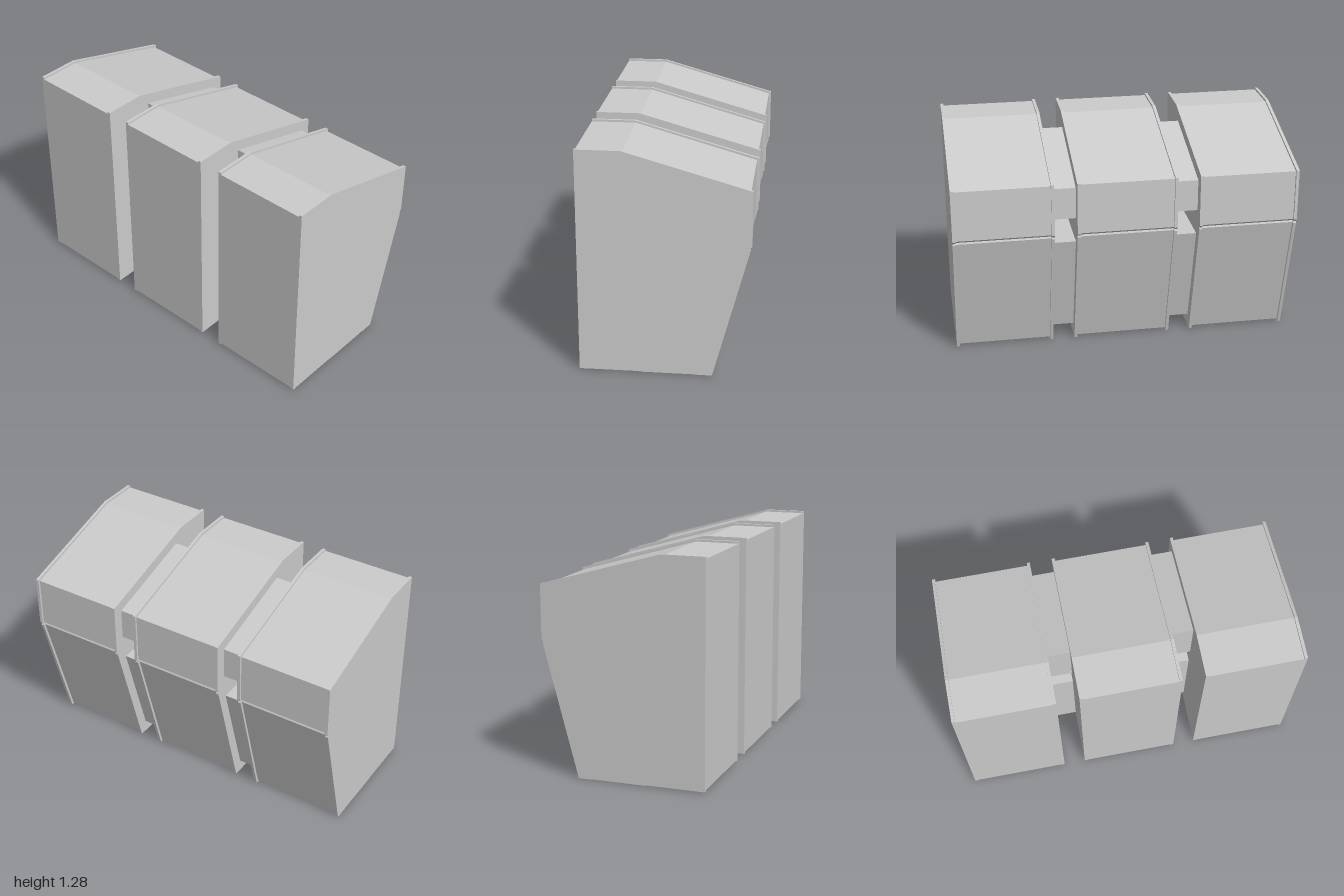
import * as THREE from 'three';

const material = new THREE.MeshStandardMaterial({ color: 0xcccccc, flatShading: true });

// Side profiles as [z, y] points, running from front bottom, round the back, to front top
const PLATE = [
  [0.475, 0.005], [0.14, 0.005], [0.139, 0.002], [-0.18, 0.002], [-0.181, 0], [-0.265, 0],
  [-0.466, 0.752], [-0.461, 0.762], [-0.474, 0.776], [-0.475, 1.085],
  [0.225, 1.284], [0.475, 1.284],
];
const BODY = [
  [0.475, 0.012], [-0.252, 0.012], [-0.451, 0.752], [-0.446, 0.762], [-0.462, 0.776],
  [-0.462, 1.075], [0.223, 1.272], [0.475, 1.272],
];
const UPPER_LINK = [[0.165, 0.85], [-0.41, 0.85], [-0.41, 1.036], [0.165, 1.2]];
const LOWER_LINK = [[0.165, 0.075], [-0.22, 0.075], [-0.39, 0.695], [0.165, 0.695]];

// Sweeps a side profile along x from x0 to x1
function slab(name, profile, x0, x1) {
  const shape = new THREE.Shape(profile.map(([z, y]) => new THREE.Vector2(-z, y)));
  const geometry = new THREE.ExtrudeGeometry(shape, { depth: x1 - x0, bevelEnabled: false });
  geometry.rotateY(Math.PI / 2);
  geometry.translate(x0, 0, 0);
  const mesh = new THREE.Mesh(geometry, material);
  mesh.name = name;
  return mesh;
}

// Cabinet: slightly recessed body held between two side plates
function cabinet(name, center) {
  const half = 0.29, thick = 0.018;
  const group = new THREE.Group();
  group.name = name;
  group.add(
    slab('body', BODY, center - half + thick, center + half - thick),
    slab('rightSidePlate', PLATE, center - half, center - half + thick),
    slab('leftSidePlate', PLATE, center + half - thick, center + half),
  );
  return group;
}

export function createModel() {
  const model = new THREE.Group();
  model.name = 'cabinetRow';
  model.add(cabinet('rightCabinet', -0.71), cabinet('middleCabinet', 0), cabinet('leftCabinet', 0.71));

  // Connecting blocks in the gaps between cabinets
  for (const [side, x] of [['right', -0.355], ['left', 0.355]]) {
    model.add(
      slab(side + 'UpperConnector', UPPER_LINK, x - 0.065, x + 0.065),
      slab(side + 'LowerConnector', LOWER_LINK, x - 0.065, x + 0.065),
    );
  }
  return model;
}
